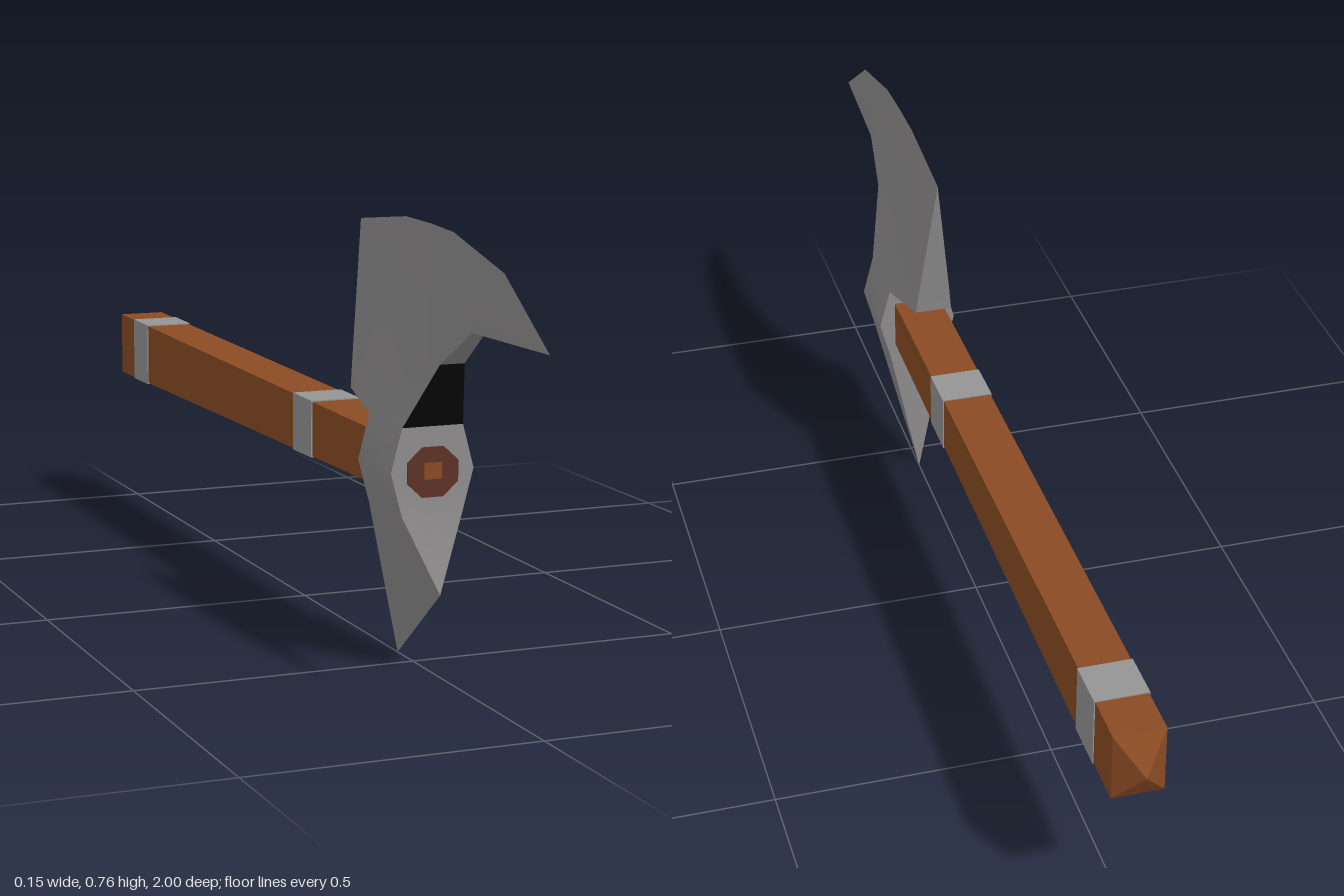
import * as THREE from 'three';
import { toCreasedNormals } from 'three/addons/utils/BufferGeometryUtils.js';

const steel = new THREE.MeshStandardMaterial({ name: 'steel', color: 0x8e8c8c });
const wood = new THREE.MeshStandardMaterial({ name: 'wood', color: 0x8a4b24 });
const bandMetal = new THREE.MeshStandardMaterial({ name: 'bandMetal', color: 0x949494 });
const darkWood = new THREE.MeshStandardMaterial({ name: 'darkWood', color: 0x5c3226 });
const black = new THREE.MeshStandardMaterial({ name: 'black', color: 0x0a0a0a });

const AXIS_Y = 0.345;

// Surface through rows of points; collapsed triangles are skipped.
function sheet(rows, crease = 0.6) {
  const pos = [];
  const tri = (...pts) => {
    const [a, b, c] = pts.map((p) => new THREE.Vector3(...p));
    if (b.sub(a).cross(c.sub(a)).length() > 1e-7) pts.forEach((p) => pos.push(...p));
  };
  for (let i = 0; i + 1 < rows.length; i++) {
    for (let j = 0; j + 1 < rows[i].length; j++) {
      const a = rows[i][j], b = rows[i + 1][j], c = rows[i + 1][j + 1], d = rows[i][j + 1];
      tri(a, b, c);
      tri(a, c, d);
    }
  }
  const g = new THREE.BufferGeometry();
  g.setAttribute('position', new THREE.Float32BufferAttribute(pos, 3));
  return toCreasedNormals(g, crease);
}

// Face spanning from +x to -x along a profile of [halfWidth, y, z].
const span = (profile) => sheet(profile.map(([w, y, z]) => [[w, y, z], [-w, y, z]]), 0.3);
const mirror = (rows) => rows.map((r) => r.map(([x, y, z]) => [-x, y, z]).reverse());

// Square shaft section that grows taller toward the butt.
const halfHeight = (z) => 0.0625 - (0.0175 * (z + 0.96)) / 1.52;
function shaft(z0, z1, grow = 0) {
  const g = new THREE.BoxGeometry(0.09 + 2 * grow, 2, z1 - z0);
  g.translate(0, 0, (z0 + z1) / 2);
  const p = g.attributes.position;
  for (let i = 0; i < p.count; i++) {
    p.setY(i, AXIS_Y + p.getY(i) * (halfHeight(p.getZ(i)) + grow));
  }
  g.computeVertexNormals();
  return g;
}

export function createModel() {
  const model = new THREE.Group();
  model.name = 'axe';
  const add = (parent, name, geometry, material) => {
    const m = new THREE.Mesh(geometry, material);
    m.name = name;
    parent.add(m);
    return m;
  };

  // Handle with pointed butt and two metal bands
  const handle = new THREE.Group();
  handle.name = 'handle';
  model.add(handle);
  add(handle, 'shaft', shaft(-0.96, 0.56), wood);
  const cap = new THREE.ConeGeometry(Math.SQRT1_2, 0.04, 4, 1, true).toNonIndexed();
  cap.rotateY(Math.PI / 4).scale(0.09, 1, 0.125).rotateX(-Math.PI / 2).translate(0, AXIS_Y, -0.98);
  cap.computeVertexNormals();
  add(handle, 'butt', cap, wood);
  add(handle, 'frontBand', shaft(0.06, 0.15, 0.002), bandMetal);
  add(handle, 'rearBand', shaft(-0.87, -0.78, 0.002), bandMetal);

  // Head
  const head = new THREE.Group();
  head.name = 'head';
  model.add(head);

  // Blade sides: lower edge, thick middle, sharp top edge, from back to beak tip
  const blade = [
    [[0.035, 0.445, 0.305], [0.055, 0.42, 0.435], [0.055, 0.42, 0.575], [0.022, 0.535, 0.65], [0.012, 0.6, 0.75], [0, 0.6, 1]],
    [[0.03, 0.49, 0.299], [0.032, 0.49, 0.435], [0.032, 0.49, 0.575], [0.02, 0.57, 0.65], [0.011, 0.62, 0.77], [0, 0.6, 1]],
    [[0, 0.735, 0.265], [0, 0.757, 0.46], [0, 0.755, 0.56], [0, 0.75, 0.65], [0, 0.705, 0.84], [0, 0.6, 1]],
  ];
  // Cheek sides around the eye, running down to the lower spike
  const cheek = [
    [[0, 0, 0.435], [0, 0.14, 0.61]],
    ...[[0.055, 0.27], [0.075, 0.345], [0.055, 0.42]].map(([w, y]) => [[w, y, 0.435], [w, y, 0.575]]),
  ];
  add(head, 'leftBlade', sheet(blade), steel);
  add(head, 'rightBlade', sheet(mirror(blade)), steel);
  add(head, 'leftCheek', sheet(cheek), steel);
  add(head, 'rightCheek', sheet(mirror(cheek)), steel);

  // Front, beak underside and back faces
  add(head, 'frontFace', span([[0, 0.14, 0.61], [0.055, 0.27, 0.575], [0.075, 0.345, 0.575], [0.055, 0.42, 0.575]]), steel);
  add(head, 'throat', span([[0.055, 0.42, 0.575], [0.022, 0.535, 0.65]]), black);
  add(head, 'beakUnderside', span([[0.022, 0.535, 0.65], [0.012, 0.6, 0.75], [0, 0.6, 1]]), steel);
  add(head, 'backFace', span([[0, 0.735, 0.265], [0.03, 0.49, 0.299], [0.035, 0.445, 0.305], [0.055, 0.42, 0.435],
    [0.075, 0.345, 0.435], [0.055, 0.27, 0.435], [0, 0, 0.435]]), steel);

  // End of the shaft showing in the front face
  const plug = new THREE.CylinderGeometry(0.05, 0.05, 0.004, 8);
  plug.rotateY(Math.PI / 8).rotateX(Math.PI / 2).scale(1, 0.92, 1).translate(0, 0.343, 0.575);
  add(head, 'shaftEnd', plug, darkWood);
  add(head, 'shaftCore', new THREE.BoxGeometry(0.032, 0.028, 0.004).translate(0, AXIS_Y, 0.576), wood);

  return model;
}
